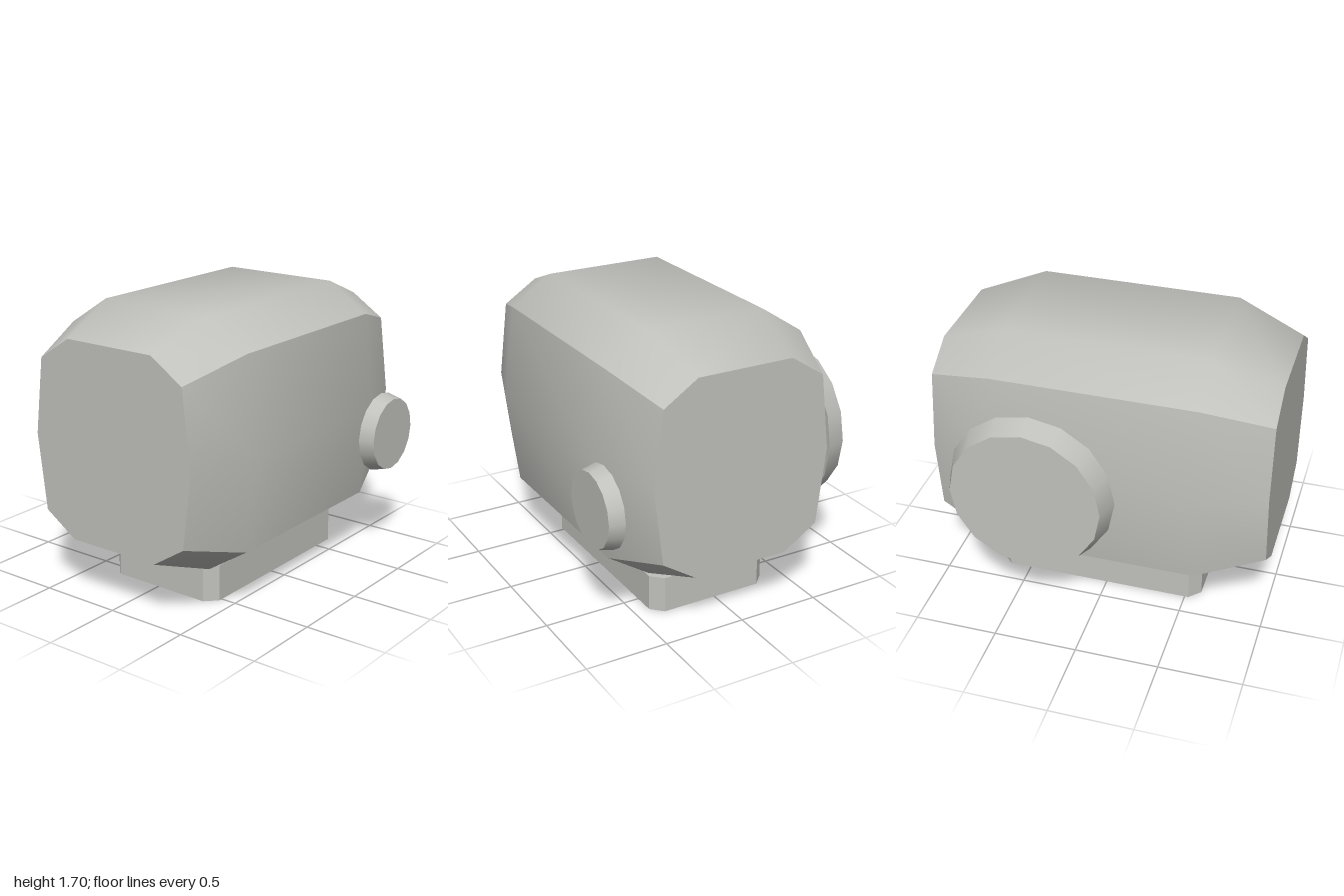
import * as THREE from 'three';
import { toCreasedNormals } from 'three/addons/utils/BufferGeometryUtils.js';

const CREASE = THREE.MathUtils.degToRad(40);

// Ten-sided barrel with tapered ends, lofted along x
function bodyGeometry() {
  const ring = [
    [-0.37, 0.74], [0.37, 0.74], [0.63, 0.57], [0.70, 0], [0.63, -0.57],
    [0.37, -0.74], [-0.37, -0.74], [-0.63, -0.57], [-0.70, 0], [-0.63, 0.57],
  ];
  const stations = [[-1, 0.8], [-0.6, 1], [0.6, 1], [1, 0.8]];
  const n = ring.length;
  const positions = [];
  const index = [];
  for (const [x, s] of stations) {
    for (const [z, y] of ring) positions.push(x, y * s, z * s);
  }
  for (let i = 0; i < stations.length - 1; i++) {
    for (let j = 0; j < n; j++) {
      const a = i * n + j;
      const b = i * n + ((j + 1) % n);
      index.push(a, b, b + n, a, b + n, a + n);
    }
  }
  // Flat end caps
  const last = (stations.length - 1) * n;
  for (let j = 1; j < n - 1; j++) {
    index.push(0, j + 1, j);
    index.push(last, last + j, last + j + 1);
  }
  const geometry = new THREE.BufferGeometry();
  geometry.setAttribute('position', new THREE.Float32BufferAttribute(positions, 3));
  geometry.setIndex(index);
  return toCreasedNormals(geometry, CREASE);
}

// Rectangular foot with its four upright corners cut off
function footGeometry(width, depth, height, cut) {
  const w = width / 2;
  const d = depth / 2;
  const shape = new THREE.Shape([
    [w, -d + cut], [w, d - cut], [w - cut, d], [-w + cut, d],
    [-w, d - cut], [-w, -d + cut], [-w + cut, -d], [w - cut, -d],
  ].map(([x, y]) => new THREE.Vector2(x, y)));
  const geometry = new THREE.ExtrudeGeometry(shape, { depth: height, bevelEnabled: false });
  return geometry.rotateX(-Math.PI / 2);
}

export function createModel() {
  const group = new THREE.Group();
  const grey = new THREE.MeshStandardMaterial({ color: 0xc0c0bc });
  grey.name = 'warm grey';

  function add(name, geometry, x, y, z) {
    const mesh = new THREE.Mesh(geometry, grey);
    mesh.name = name;
    mesh.position.set(x, y, z);
    group.add(mesh);
    return mesh;
  }

  add('body', bodyGeometry(), 0, 0.96, 0.02);
  add('foot', footGeometry(1.29, 0.77, 0.22, 0.067), 0.055, 0, 0.02);

  // Tapered round knobs, narrowing away from the body
  const frontKnob = new THREE.CylinderGeometry(0.223, 0.245, 0.09, 16).rotateX(Math.PI / 2);
  add('frontKnob', frontKnob, 0.70, 0.78, 0.765);

  const backDisc = new THREE.CylinderGeometry(0.45, 0.498, 0.13, 16).rotateX(-Math.PI / 2);
  add('backDisc', backDisc, 0.35, 0.868, -0.745);

  return group;
}
